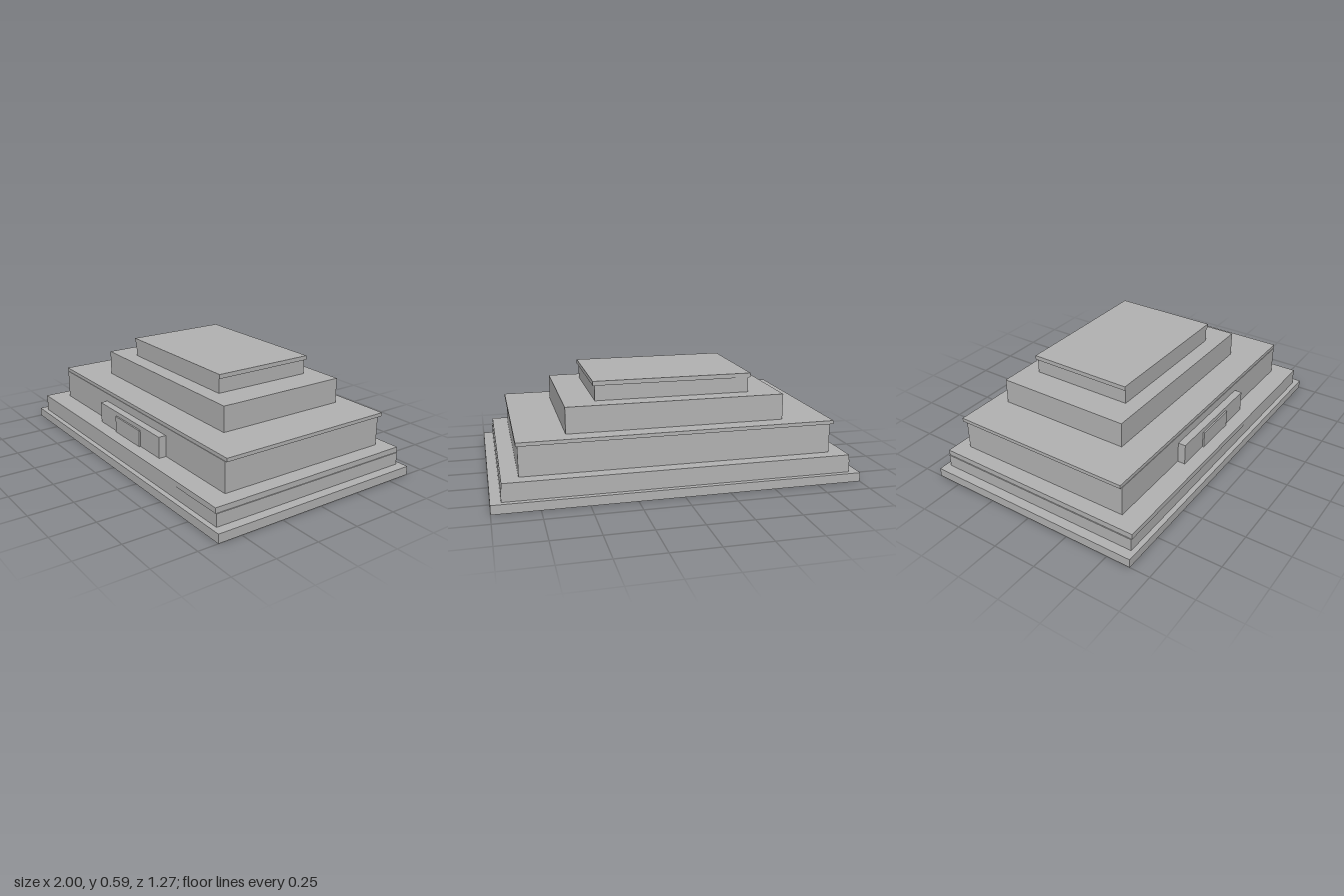
import * as THREE from 'three';

export function createModel() {
  const group = new THREE.Group();
  const stone = new THREE.MeshStandardMaterial({ color: 0xb3b3b3 });
  stone.name = 'grey stone';

  // Box centred on x, given by half width, height range and depth range
  function block(name, halfWidth, y0, y1, z0, z1) {
    const mesh = new THREE.Mesh(new THREE.BoxGeometry(halfWidth * 2, y1 - y0, z1 - z0), stone);
    mesh.position.set(0, (y0 + y1) / 2, (z0 + z1) / 2);
    mesh.name = name;
    group.add(mesh);
  }

  // Ground plinth and podium
  block('basePlinth', 1, 0, 0.05, -0.636, 0.636);
  block('podium', 0.945, 0.05, 0.12, -0.607, 0.607);
  block('podiumCap', 0.94, 0.12, 0.15, -0.61, 0.61);

  // Main storey with overhanging roof slab
  block('mainStorey', 0.85, 0.15, 0.317, -0.537, 0.49);
  block('mainRoof', 0.86, 0.317, 0.337, -0.557, 0.487);

  // Stepped upper storeys, set back from the front
  block('middleStorey', 0.597, 0.337, 0.48, -0.465, 0.313);
  block('topStorey', 0.427, 0.48, 0.563, -0.37, 0.222);
  block('topRoof', 0.437, 0.563, 0.587, -0.377, 0.225);

  // Entrance porch and door panel
  block('entrancePorch', 0.324, 0.15, 0.27, 0.49, 0.533);
  block('doorPanel', 0.131, 0.15, 0.245, 0.533, 0.542);

  return group;
}
